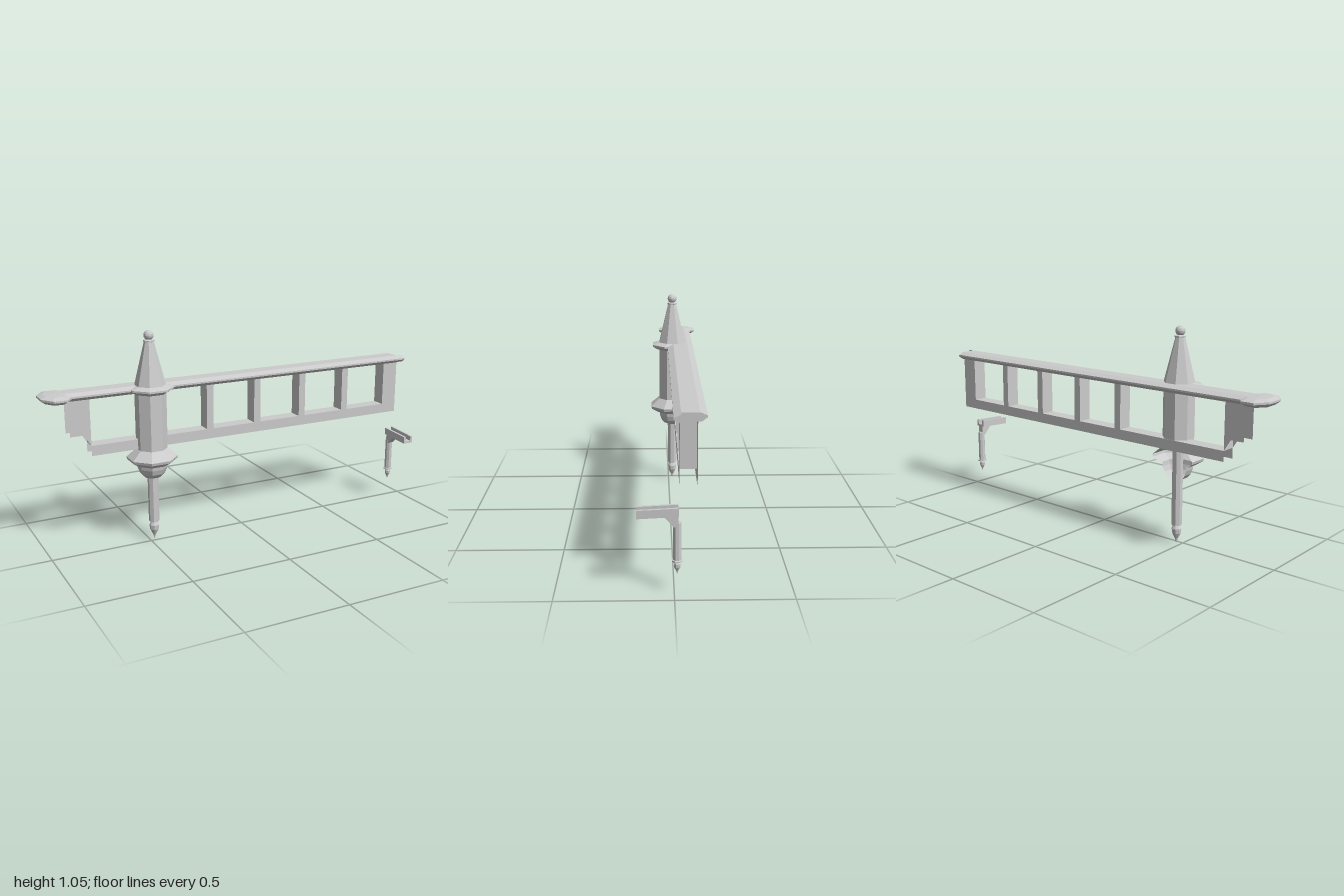
import * as THREE from 'three';

const mat = new THREE.MeshStandardMaterial({ color: 0xcccccc, flatShading: true, side: THREE.DoubleSide });
const TURRET_X = -0.475, TURRET_Z = -0.02;
const FRONT_Z = -0.02, BACK_Z = -0.092;
const WALL_BOTTOM = 0.48, SILL = 0.53, WALL_TOP = 0.757;

function add(parent, name, geometry, x = 0, y = 0, z = 0) {
  const mesh = new THREE.Mesh(geometry, mat);
  mesh.name = name;
  mesh.position.set(x, y, z);
  parent.add(mesh);
  return mesh;
}

// Octagonal solid with flats facing the axes; profile is [apothem, y] from bottom to top.
// With frontOnly, just the five front sides are made.
function octagon(profile, frontOnly = false) {
  const pts = profile.map(([a, y]) => new THREE.Vector2(a / Math.cos(Math.PI / 8), y));
  return frontOnly
    ? new THREE.LatheGeometry(pts, 5, -Math.PI * 5 / 8, Math.PI * 5 / 4)
    : new THREE.LatheGeometry(pts, 8, Math.PI / 8);
}

const polygon = (pts) => new THREE.Shape(pts.map(([x, y]) => new THREE.Vector2(x, y)));
const rect = (x0, x1, y0, y1) => polygon([[x0, y0], [x1, y0], [x1, y1], [x0, y1]]);

// Extrude a [z, y] outline along x.
function extrudeX(outline, x0, x1) {
  const g = new THREE.ExtrudeGeometry(polygon(outline.map(([z, y]) => [-z, y])), { depth: x1 - x0, bevelEnabled: false });
  return g.rotateY(Math.PI / 2).translate(x0, 0, 0);
}

function box(x0, x1, y0, y1, z0, z1) {
  return new THREE.BoxGeometry(x1 - x0, y1 - y0, z1 - z0)
    .translate((x0 + x1) / 2, (y0 + y1) / 2, (z0 + z1) / 2);
}

function makeGallery() {
  const g = new THREE.Group();
  g.name = 'gallery';
  const depth = FRONT_Z - BACK_Z, midZ = (FRONT_Z + BACK_Z) / 2;

  // thin front and back walls, open at both ends and below
  const bracket = polygon([[-0.875, 0.585], [-0.81, 0.585], [-0.775, SILL], [-0.775, WALL_TOP], [-0.875, WALL_TOP]]);
  const sheets = [rect(-0.775, 0.965, WALL_BOTTOM, SILL), rect(0.88, 0.965, SILL, WALL_TOP), bracket];
  add(g, 'frontWall', new THREE.ShapeGeometry(sheets), 0, 0, FRONT_Z);
  add(g, 'backWall', new THREE.ShapeGeometry(sheets), 0, 0, BACK_Z);

  // window reveals, sill and uprights
  for (const x of [-0.775, 0.88]) {
    add(g, 'windowReveal', new THREE.PlaneGeometry(depth, WALL_TOP - SILL).rotateY(Math.PI / 2),
      x, (SILL + WALL_TOP) / 2, midZ);
  }
  add(g, 'sill', new THREE.PlaneGeometry(1.655, depth).rotateX(-Math.PI / 2), 0.0525, SILL, midZ);
  for (let i = 0; i < 4; i++) {
    const x = -0.162 + i * 0.264;
    add(g, 'upright', box(x - 0.018, x + 0.018, SILL, WALL_TOP, BACK_Z, FRONT_Z));
  }

  // cornice, with its front strip running further at one end
  add(g, 'cornice', extrudeX([
    [-0.107, 0.755], [-0.13, 0.772], [-0.13, 0.78], [-0.1, 0.792],
    [-0.025, 0.792], [0.005, 0.78], [0.005, 0.772], [-0.018, 0.755]], -0.92, 0.965));
  add(g, 'corniceReturn', extrudeX([
    [-0.025, 0.792], [0.005, 0.78], [0.005, 0.772], [-0.018, 0.757]], 0.965, 1));

  // widened end of the cornice
  const end = add(g, 'corniceEnd', octagon([[0, 0.755], [0.075, 0.755], [0.105, 0.772], [0.105, 0.781],
    [0.07, 0.79], [0, 0.793]]), -0.925, 0, -0.055);
  end.scale.x = 0.71;
  return g;
}

// Drop finial: ring, swelling and point, hanging from y = 0.
const finialProfile = (s) => [[0, -0.097], [0.008, -0.07], [0.011, -0.065], [0.02, -0.045],
  [0.022, -0.022], [0.014, -0.006], [0.021, -0.004], [0.021, 0.004], [0.012, 0.006]]
  .map(([r, y]) => [r * s, y * s]);

function makeTurret() {
  const g = new THREE.Group();
  g.name = 'turret';
  g.position.set(TURRET_X, 0, TURRET_Z);
  add(g, 'turretBody', octagon([[0.07, 0.478], [0.07, 0.785]]));
  add(g, 'turretMoulding', octagon([[0.07, 0.755], [0.08, 0.755], [0.105, 0.772], [0.105, 0.781], [0.07, 0.792]]));
  add(g, 'spire', octagon([[0.07, 0.788], [0.021, 1.0]]));
  add(g, 'spireCollar', octagon([[0.018, 0.996], [0.025, 0.998], [0.025, 1.005], [0.012, 1.01]]));
  add(g, 'spireBall', new THREE.SphereGeometry(0.024, 16, 10), 0, 1.028, 0);

  // flared base and bowl wrap the front only
  add(g, 'flaredBase', octagon([[0.078, 0.4], [0.112, 0.423], [0.115, 0.436], [0.07, 0.478]], true));
  add(g, 'bowl', octagon([[0.03, 0.33], [0.042, 0.335], [0.058, 0.355], [0.067, 0.38], [0.07, 0.402]], true));

  add(g, 'hangingPost', octagon([[0.024, 0.1], [0.024, 0.48]]));
  add(g, 'dropFinial', octagon(finialProfile(1)), 0, 0.1, 0);
  return g;
}

function makeSpout() {
  const g = new THREE.Group();
  g.name = 'spout';
  g.position.set(0.935, 0, 0);

  // open trough, rising slightly to the rear
  const side = [[-0.017, 0.354], [0.155, 0.345], [0.155, 0.381], [-0.017, 0.39]];
  for (const s of [-1, 1]) add(g, 'troughSide', extrudeX(side, s * 0.021 - 0.006, s * 0.021 + 0.006));
  add(g, 'troughFloor', extrudeX([[-0.017, 0.354], [0.155, 0.345], [0.155, 0.356], [-0.017, 0.365]], -0.02, 0.02));
  add(g, 'brace', extrudeX([[-0.017, 0.3], [0.003, 0.305], [0.045, 0.352], [-0.017, 0.356]], -0.016, 0.016));

  add(g, 'spoutPost', octagon([[0.017, 0.15], [0.017, 0.32], [0, 0.32]]), 0, 0, -0.012);
  add(g, 'spoutFinial', octagon(finialProfile(0.64)), 0, 0.152, -0.012);
  add(g, 'spoutRing', octagon([[0.014, 0.147], [0.022, 0.149], [0.022, 0.155], [0.014, 0.157]]), 0, 0, -0.012);
  return g;
}

export function createModel() {
  const model = new THREE.Group();
  model.name = 'turretGallery';
  model.add(makeGallery(), makeTurret(), makeSpout());
  return model;
}
